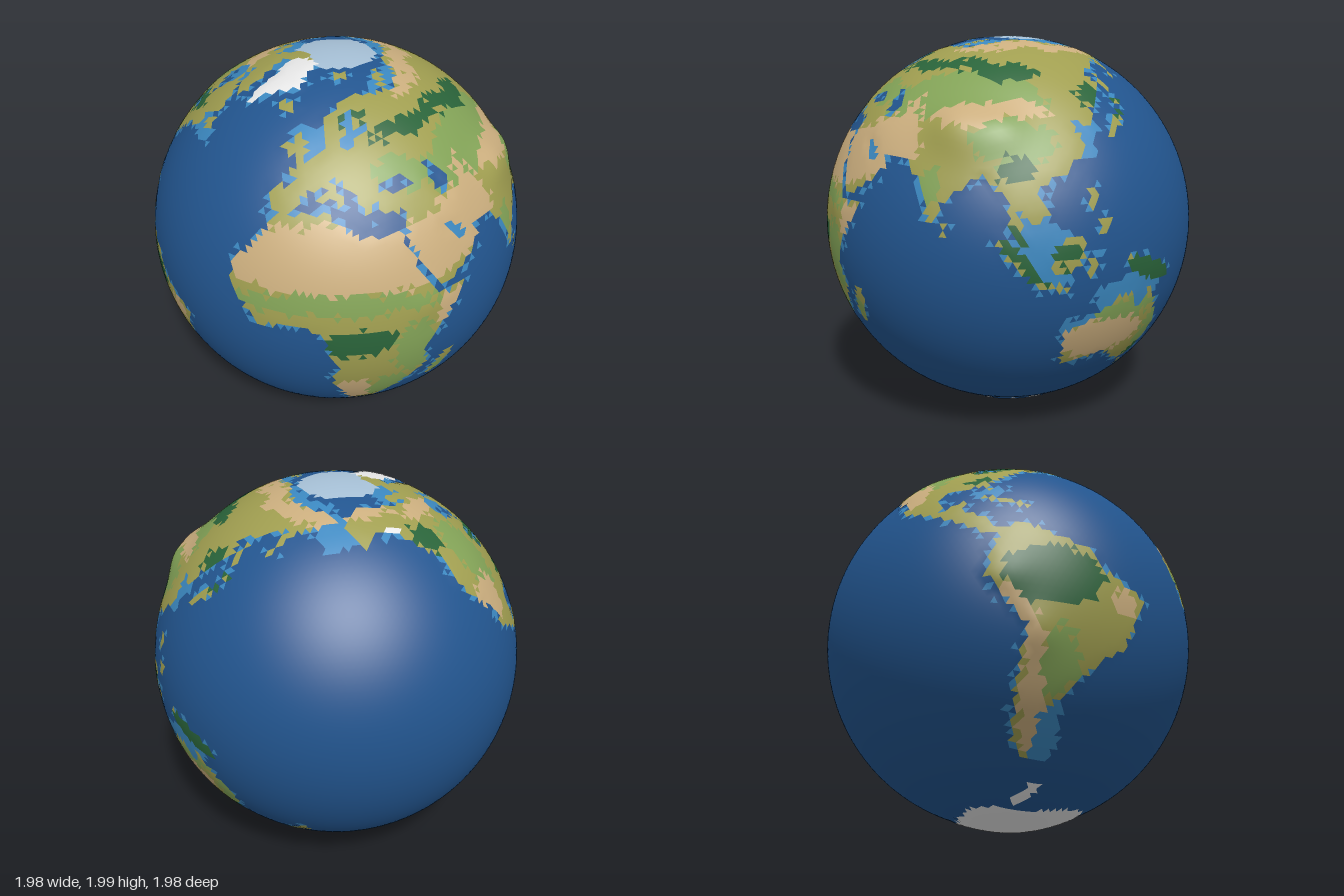
import * as THREE from 'three';
import { mergeVertices } from 'three/addons/utils/BufferGeometryUtils.js';

const SEA_RADIUS = 0.991;
const RAD = Math.PI / 180;

const mat = (name, color) => new THREE.MeshStandardMaterial({ name, color });
const materials = {
  deepOcean: mat('deep blue', 0x22558f),
  shallowSea: mat('shelf blue', 0x3b88c0),
  savanna: mat('olive', 0xa09e50),
  grassland: mat('grass green', 0x83a357),
  forest: mat('forest green', 0x2a643a),
  desert: mat('sand', 0xcbae7e),
  landIce: mat('snow white', 0xe8e8e8),
  seaIce: mat('ice blue', 0xa6c0d6),
};

const direction = (lon, lat) => new THREE.Vector3(
  Math.cos(lat * RAD) * Math.sin(lon * RAD), Math.sin(lat * RAD), Math.cos(lat * RAD) * Math.cos(lon * RAD));
const lonLat = (v) => [Math.atan2(v.x, v.z) / RAD, Math.asin(THREE.MathUtils.clamp(v.y, -1, 1)) / RAD];

// Tilted oval on the sphere: centre longitude and latitude, two radii and tilt, all in degrees
function oval([lon, lat, rx, ry, tilt = 0]) {
  const up = direction(lon, lat), east = direction(lon + 90, 0), north = up.clone().cross(east);
  const c = Math.cos(tilt * RAD), s = Math.sin(tilt * RAD);
  return (v) => {
    const x = v.dot(east) / RAD, y = v.dot(north) / RAD;
    return v.dot(up) > 0 && ((x * c + y * s) / rx) ** 2 + ((y * c - x * s) / ry) ** 2 < 1;
  };
}
// Outline given as longitude, latitude pairs; also tested past the date line
function outline(points) {
  const shape = [];
  for (let i = 0; i < points.length; i += 2) shape.push(new THREE.Vector2(points[i], points[i + 1]));
  const hit = (x, y) => shape.reduce((odd, a, i) => {
    const b = shape[(i + 1) % shape.length];
    return (a.y > y) !== (b.y > y) && x < (b.x - a.x) * (y - a.y) / (b.y - a.y) + a.x ? !odd : odd;
  }, false);
  return (v) => {
    const [lon, lat] = lonLat(v);
    return hit(lon, lat) || (lon < -145 && hit(lon + 360, lat));
  };
}
const anyOf = (tests) => (v) => tests.some((t) => t(v));
const ovals = (list) => anyOf(list.map(oval));

// Continents
const africa = outline([-17,21,-10,30,-6,35.8,10,37.3,20,31,32.5,31,37.3,20,43.5,11,51.2,11.8,39,-6,40.5,-15,35,-22,26,-34,
  18.5,-34.3,12,-17,13.5,-10,9,4,3,6.3,-8,4.4,-17.3,14]);
const europe = outline([-9,37,-2,36.7,3,42.5,9,44.3,16,38,14,44.5,19.5,41.5,23,36.8,27,40.5,45,40,60,47,60,69,28,71,15,68,
  5,62,8,58.1,12,57,8.2,57,8.7,53.8,2,51,-4.7,48.4,-1.5,43.4,-9,43.4]);
const westAsia = outline([26,40.5,28,36.8,36,36.5,34.8,28.5,43,13,52,16.5,59.7,22.5,57,26,67,25,72.8,20,77.3,8.2,80.5,15,
  91,22.5,91,48,38,48]);
const eastAsia = outline([91,22.5,98,16,98.5,9,103.7,1.4,100.3,13.2,105,8.8,109,12,106,19,114,22.3,121.7,29,119.5,38,
  126.5,34.5,128,40,140,49,136,54.5,160,61,156.5,51.2,164,60,190,66,180,69,141,73,104,77.6,60,69,58,47,91,47]);
const northAmerica = outline([-168,65.7,-158,56,-150,60.5,-139,59.8,-124,48.3,-124,40,-117,32.5,-110,23,-96,15.8,-80,7.2,
  -77,8.5,-83.5,15,-88.5,16,-88,21.3,-95,18.7,-97.5,27,-83,29.5,-81,25.2,-81.3,31,-70,42,-60,46,-65,48.5,-55.8,52.5,
  -65,60.3,-78,62.4,-82,69.5,-95,71.5,-110,68,-156,71.3]);
const southAmerica = outline([-77.5,8,-72,12,-51.5,4.3,-50,0,-35,-6,-41,-22,-48,-26,-58,-36,-65,-42,-67,-55,-74,-50,
  -73.5,-37,-70.3,-18.5,-81.2,-5,-80,0.8]);
const australia = outline([114,-22,115.5,-34.2,131,-31.5,143,-39,150,-37.3,153.3,-26,142.5,-10.8,140.5,-17.5,135.5,-15,
  136.8,-12.2,131,-11.8,122.2,-18]);
const greenland = outline([-73,78,-54,72,-45,59.5,-39,65.5,-20,72,-30,83.3,-60,82]);

// Southern ice cap: a wavy coast with a long peninsula
const peninsula = oval([-63, -68, 1.8, 6, -25]);
const antarctica = (v) => {
  const [lon, lat] = lonLat(v);
  return lat < -71.5 + 4 * Math.cos((lon - 80) * RAD) + 2 * Math.cos(3 * (lon + 105) * RAD) || peninsula(v);
};

const islands = ovals([
  [-72,68,10,3.5,-45], [-110,71,4,2], [-80,79,5,3,45], [-56,49,2.2,2], [-2.5,54,4.2,1.6,110], [-8,53.4,1.5,1.8],
  [-19,65,2.6,1.5], [9,41,1,1.8], [59,73.5,4.5,1.2,60], [18,78.5,2.5,1.8], [137,36,6,1.4,40], [143,43.3,1.8,1.3],
  [143,50,1,4], [121.5,16,1.3,3], [124.5,8.5,2,2.2], [114,1,5.3,3.7,40], [101,0,8.5,1.9,-48], [110,-7.3,4.7,1,-8],
  [121,-2,1.4,3.2], [141,-5.5,10.5,2.8,-22], [81,7.7,1,1.6], [46.7,-19,7,2.2,70], [147,-42,1.5,1.5], [175.5,-39,1.8,2.8],
  [170.3,-43.8,4,1.2,50], [-77,21,8,0.9,-18],
]);
const inlandSeas = ovals([
  [51,42,2.2,5,10], [34.5,43.3,5,1.9], [51.5,27,4.5,1.2,-40], [16,43,4.5,1,-45], [19.5,57.5,1.8,3.5,-20],
  [20,62.5,1.3,3.2,-20], [26,59.8,2.3,0.7], [-85.5,59,4.6,4.8], [-80.5,53,1,2.5], [-88,47.5,2.5,0.8], [-87,43.5,0.9,2.2],
  [-81.5,44.5,1.5,1.2], [-112,28,4.5,0.9,-55],
]);
const shelves = ovals([
  [-171,62,6,7], [1,55.5,6,5], [20,59,4,6], [75,73.5,12,3], [130,75,10,3], [165,71.5,8,2.5], [122.5,33,4,8],
  [108,3,11,6,-60], [134,-11.5,12,5], [51.5,27,5,2,-40], [-84,62,7,4], [-97,74,10,5], [-62,-46,4,10], [-57,46.5,7,3],
  [-80,26,5,2.5], [50,45.5,3,1.5], [118,-19,6,2,25],
]);
const polarIce = oval([-158, 87, 11.5, 11]);

// Land cover, painted in order so that later kinds win
const landCover = {
  grassland: ovals([[12,12.5,29,3], [36,-6,6,11], [29,-24,6,7], [46,-21,1.5,5], [80,46,23,9], [100,31,11,6], [38,46,8,5],
    [76,18,3,6], [-105,45,7,13], [-60,-27,5,9], [135,-17,13,3], [149,-27,3,8]]),
  forest: ovals([[20,0,10,5], [-63,-4,14,8.5], [45,58,9,3], [70,59,9,3], [98,55,9,4], [22,63.5,4,2,30], [131,46,5,3,60],
    [100,23.5,5,3], [102,1,10,3,-50], [113.5,1,4,3], [142,-6,11,4.5,-20], [142,41,3,3.5], [-124,55,4,5], [-82,46,7,3.5],
    [-86,33,4,2], [149,-36,2.5,2]]),
  desert: anyOf([
    outline([-19,16,-19,28,-3,33,10,35,40,33,58,38,63,45,68,36,72,27,66,22,40,15.5]),
    ovals([[85,38.5,10,4], [102,41,8,3], [47,6,4,6,-30], [18,-25,5,9], [80,69,8,2.5], [110,72,8,3], [145,69,10,3],
      [170,67,8,3], [-150,68.5,9,2], [-105,64.5,9,3], [-110,31,6,7], [-42,-8,4,4], [-72,-15,9,3,-55], [-68,-35,3,16],
      [128,-25.5,14,6.5]]),
  ]),
  landIce: anyOf([greenland, antarctica, oval([-140, 60, 2.5, 1.8])]),
};

// Mountain areas: longitude, latitude, angular radius in degrees, height
const peaks = [
  [79,35,6,.026], [88,33,8,.032], [97,34,6,.022], [52,33,7,.008], [39,9,5,.011], [-110,41,9,.011],
  [-76,-5,6,.014], [-68,-20,6,.018], [-40,72,9,.009], [90,-80,16,.012],
].map(([lon, lat, r, height]) => ({ dir: direction(lon, lat), r: r * RAD, height }));

const land = anyOf([africa, europe, westAsia, eastAsia, northAmerica, southAmerica, australia, greenland, antarctica, islands]);
const isLand = (v) => land(v) && !inlandSeas(v);

let seed = 7;
const random = () => (seed = (seed * 16807) % 2147483647) / 2147483647;
const scatter = (v, amount) => v.clone().add(
  new THREE.Vector3(random() - 0.5, random() - 0.5, random() - 0.5).multiplyScalar(amount)).normalize();

// Chooses the surface for one facet centre
function surfaceAt(v) {
  if (isLand(v)) {
    const near = scatter(v, 0.05);
    const kinds = Object.keys(landCover).filter((kind) => landCover[kind](kind === 'landIce' ? v : near));
    return kinds.pop() ?? 'savanna';
  }
  if (polarIce(v)) return 'seaIce';
  if (shelves(scatter(v, 0.04))) return 'shallowSea';
  return v.y > -0.85 && isLand(scatter(v, 0.09)) ? 'shallowSea' : 'deepOcean';
}

export function createModel() {
  const group = new THREE.Group();
  group.name = 'globe';

  // Triangulated sphere with a vertex at each pole
  let sphere = new THREE.IcosahedronGeometry(1, 31);
  sphere.rotateZ(-Math.atan(2 / (1 + Math.sqrt(5))));
  sphere.deleteAttribute('normal');
  sphere.deleteAttribute('uv');
  sphere = mergeVertices(sphere, 1e-4);
  const pos = sphere.attributes.position, index = sphere.index;

  // Sort the facets by surface
  const facets = Object.fromEntries(Object.keys(materials).map((k) => [k, []]));
  const centre = new THREE.Vector3(), v = new THREE.Vector3();
  for (let i = 0; i < index.count; i += 3) {
    const tri = [0, 1, 2].map((k) => index.getX(i + k));
    centre.set(0, 0, 0);
    tri.forEach((t) => centre.add(v.fromBufferAttribute(pos, t)));
    facets[surfaceAt(centre.normalize())].push(...tri);
  }

  // Raise the land into low relief
  for (let i = 0; i < pos.count; i++) {
    v.fromBufferAttribute(pos, i).normalize();
    let radius = SEA_RADIUS;
    if (isLand(v)) {
      radius += 0.002;
      for (const p of peaks) radius += p.height * Math.exp(-((v.angleTo(p.dir) / p.r) ** 2));
    }
    pos.setXYZ(i, v.x * radius, v.y * radius + 0.998, v.z * radius);
  }
  sphere.computeVertexNormals();

  // One mesh for each kind of surface
  for (const [name, list] of Object.entries(facets)) {
    const part = sphere.clone();
    part.setIndex(list);
    const mesh = new THREE.Mesh(part.toNonIndexed(), materials[name]);
    mesh.name = name;
    group.add(mesh);
  }
  return group;
}
